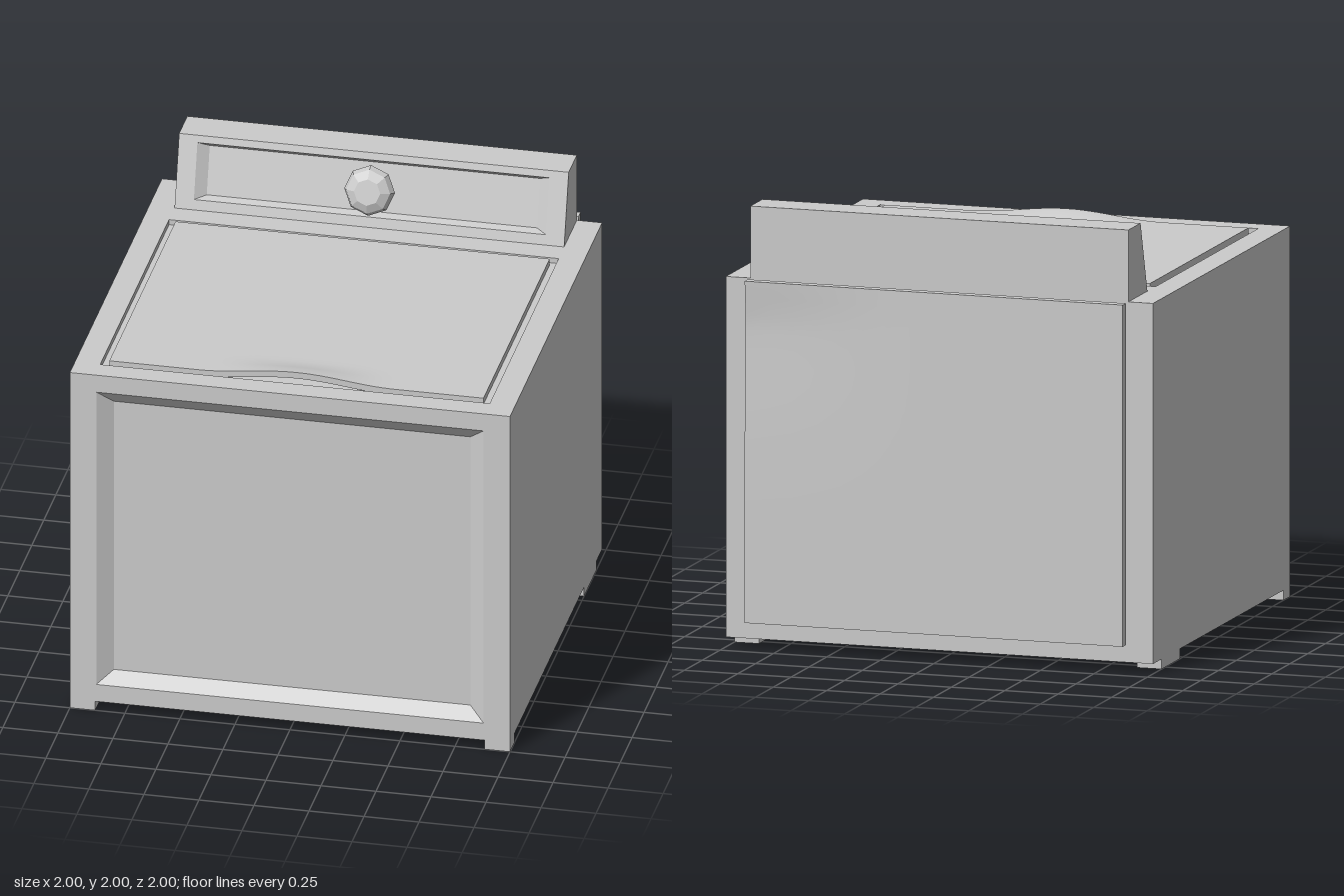
import * as THREE from 'three';

const mat = new THREE.MeshStandardMaterial({ color: 0xcccccc });

function add(group, name, geometry, x = 0, y = 0, z = 0) {
  const mesh = new THREE.Mesh(geometry, mat);
  mesh.name = name;
  mesh.position.set(x, y, z);
  group.add(mesh);
  return mesh;
}

// Skin over rectangles [halfWidth, y0, y1, depth] from back to front, closed by a front cap.
// The depth may be a function of y, for slanted faces.
function rectLoft(rects, backCap = false) {
  const loops = rects.map(([w, y0, y1, d]) =>
    [[-w, y0], [w, y0], [w, y1], [-w, y1]].map(([x, y]) => [x, y, typeof d === 'function' ? d(y) : d]));
  const pos = [];
  const quad = (a, b, c, d) => pos.push(...a, ...b, ...c, ...a, ...c, ...d);
  for (let k = 0; k < loops.length - 1; k++) {
    for (let i = 0; i < 4; i++) {
      const j = (i + 1) % 4;
      quad(loops[k][i], loops[k][j], loops[k + 1][j], loops[k + 1][i]);
    }
  }
  quad(...loops[loops.length - 1]);
  if (backCap) quad(...[...loops[0]].reverse());
  const g = new THREE.BufferGeometry();
  g.setAttribute('position', new THREE.Float32BufferAttribute(pos, 3));
  g.computeVertexNormals();
  return g;
}

// Move every vertex of a geometry by a rule
function warp(g, rule) {
  const p = g.attributes.position;
  const v = new THREE.Vector3();
  for (let i = 0; i < p.count; i++) {
    v.fromBufferAttribute(p, i);
    rule(v);
    p.setXYZ(i, v.x, v.y, v.z);
  }
  g.computeVertexNormals();
  return g;
}

export function createModel() {
  const washer = new THREE.Group();
  washer.name = 'washingMachine';

  // Cabinet: plain core, recessed front and a top with a sunken lid well
  add(washer, 'cabinet', new THREE.BoxGeometry(2, 1.595, 1.87), 0, 0.8425, 0.015);
  add(washer, 'frontPanel', rectLoft([
    [1, 0.045, 1.675, 0.95],
    [1, 0.045, 1.675, 1],
    [0.88, 0.13, 1.59, 1],
    [0.81, 0.19, 1.53, 0.955],
  ]));
  const top = rectLoft([
    [1, -1, 0.92, 1.64],
    [1, -1, 0.92, 1.675],
    [0.885, -0.895, 0.54, 1.675],
    [0.885, -0.895, 0.54, 1.65],
  ]);
  top.rotateX(-Math.PI / 2);
  add(washer, 'topPanel', top);

  // Lid with a raised finger grip at the middle of its front edge
  const lid = warp(new THREE.BoxGeometry(1.7, 0.03, 1.38, 48, 1, 32), (v) => {
    const across = Math.abs(v.x) < 0.45 ? 0.5 + 0.5 * Math.cos(Math.PI * v.x / 0.45) : 0;
    v.y += 0.035 * across * THREE.MathUtils.smoothstep(v.z, 0.52, 0.69);
  });
  add(washer, 'lid', lid, 0, 1.667, 0.175);

  // Feet
  for (const side of [-1, 1]) {
    add(washer, 'frontFoot', new THREE.BoxGeometry(0.115, 0.045, 0.095), side * 0.9425, 0.0225, 0.9525);
    add(washer, 'backFoot', new THREE.BoxGeometry(0.115, 0.045, 0.26), side * 0.9425, 0.0225, -0.67);
  }

  // Control console with a slanted, recessed face
  const slant = (inset) => (y) => -0.655 - 0.292 * (y - 1.675) - inset;
  add(washer, 'console', rectLoft([
    [0.885, 1.675, 2, -0.92],
    [0.885, 1.675, 2, slant(0)],
    [0.8, 1.72, 1.968, slant(0)],
    [0.75, 1.73, 1.945, slant(0.035)],
  ], true));

  // Faceted dial
  const profile = [[0, 0], [0.09, 0], [0.1, 0.05], [0.115, 0.08], [0.1, 0.112], [0.06, 0.135], [0, 0.135]];
  let knob = new THREE.LatheGeometry(profile.map(([r, h]) => new THREE.Vector2(r, h)), 8).toNonIndexed();
  knob.computeVertexNormals();
  const dial = add(washer, 'dial', knob, 0, 1.835, slant(0.035)(1.835));
  dial.rotation.x = Math.PI / 2 - Math.atan(0.292);

  // Thin back cover standing off the cabinet, slightly dented near one upper edge
  const cover = warp(new THREE.BoxGeometry(1.77, 1.545, 0.045, 16, 20, 1), (v) => {
    const sideFade = THREE.MathUtils.smoothstep(v.x, 0.1, 0.885);
    v.z += 0.016 * sideFade * Math.exp(-(((v.y - 0.6) / (v.y > 0.6 ? 0.1 : 0.35)) ** 2));
  });
  add(washer, 'backCover', cover, 0, 0.9025, -0.9775);

  return washer;
}
